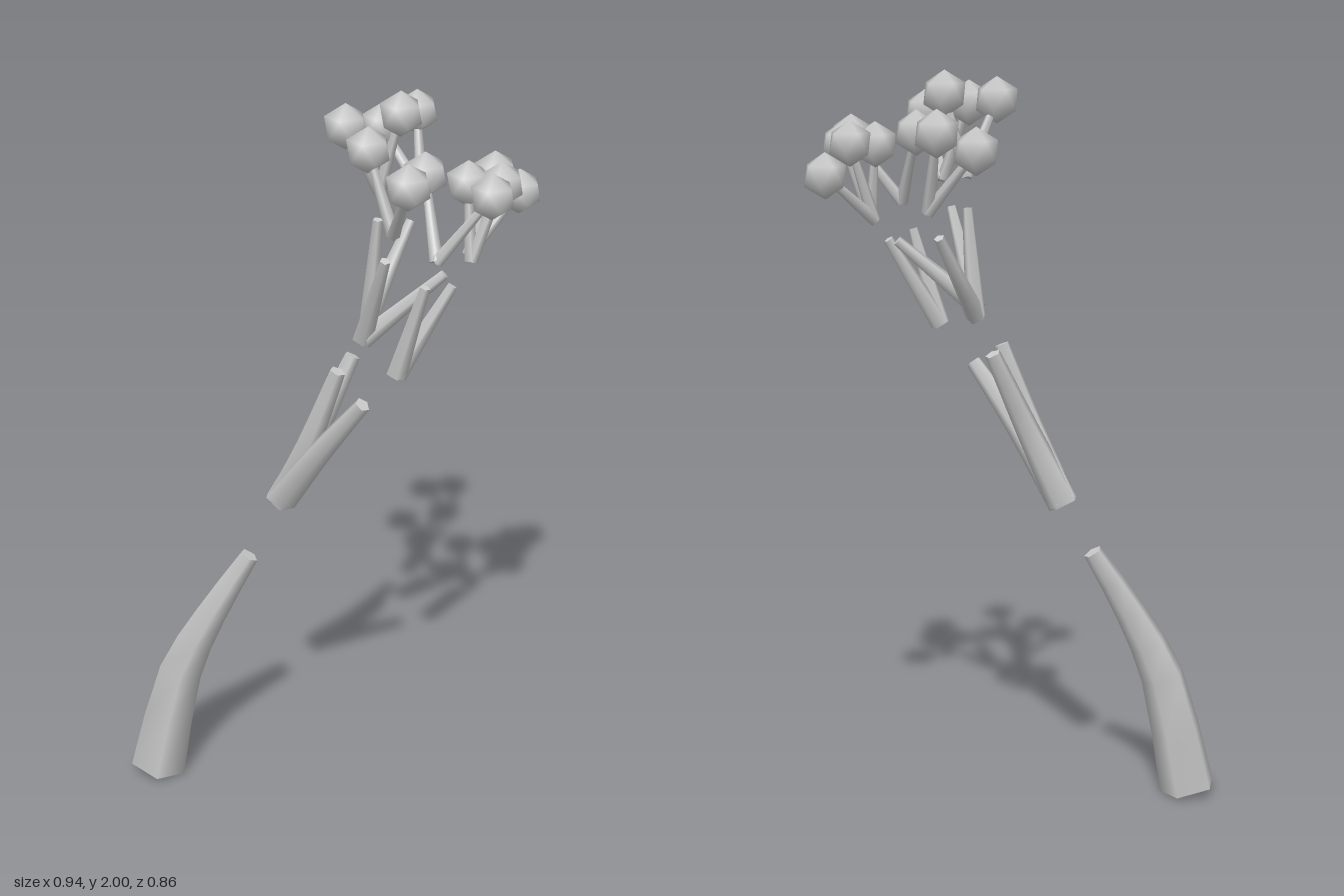
import * as THREE from 'three';
import { mergeVertices } from 'three/addons/utils/BufferGeometryUtils.js';

const material = new THREE.MeshStandardMaterial({ color: 0xcccccc });
const UP = new THREE.Vector3(0, 1, 0);

// Five-sided tapering limb that follows a curve through the given points
function limb(name, points, r0, r1) {
  const curve = new THREE.CatmullRomCurve3(points.map(p => new THREE.Vector3(...p)));
  const geo = new THREE.CylinderGeometry(1, 1, 1, 5, points.length > 2 ? 6 : 1, false, Math.PI);
  const pos = geo.attributes.position, nor = geo.attributes.normal;
  const q = new THREE.Quaternion(), v = new THREE.Vector3(), n = new THREE.Vector3();
  for (let i = 0; i < pos.count; i++) {
    v.fromBufferAttribute(pos, i);
    const t = THREE.MathUtils.clamp(v.y + 0.5, 0, 1);
    const r = THREE.MathUtils.lerp(r0, r1, t);
    q.setFromUnitVectors(UP, curve.getTangent(t));
    v.set(v.x * r, 0, v.z * r).applyQuaternion(q).add(curve.getPoint(t));
    n.fromBufferAttribute(nor, i).applyQuaternion(q);
    pos.setXYZ(i, v.x, v.y, v.z);
    nor.setXYZ(i, n.x, n.y, n.z);
  }
  const mesh = new THREE.Mesh(geo, material);
  mesh.name = name;
  return mesh;
}

// Smooth icosahedron standing on a vertex
function makeBudGeometry(radius) {
  let geo = new THREE.IcosahedronGeometry(radius, 0);
  geo.deleteAttribute('normal');
  geo.deleteAttribute('uv');
  geo = mergeVertices(geo);
  geo.rotateZ(-Math.atan(2 / (1 + Math.sqrt(5))));
  geo.computeVertexNormals();
  return geo;
}

export function createModel() {
  const group = new THREE.Group();

  // Trunk
  group.add(limb('trunk', [
    [-0.395, 0.018, -0.355], [-0.34, 0.34, -0.305], [-0.275, 0.52, -0.245], [-0.185, 0.70, -0.18],
  ], 0.08, 0.027));

  // Three main boughs sharing one foot
  const foot = [-0.088, 0.852, -0.162];
  const boughs = [
    [[-0.015, 1.05, -0.10], [0.085, 1.265, -0.067]],
    [[-0.065, 1.05, -0.065], [-0.02, 1.27, 0.005]],
    [[-0.06, 1.04, -0.02], [-0.018, 1.21, 0.11]],
  ];
  for (const [mid, tip] of boughs) group.add(limb('bough', [foot, mid, tip], 0.045, 0.022));

  // Each fork carries two branches; each branch end carries two twigs with buds
  const forks = [
    { foot: [0.138, 1.37, -0.06], branches: [
      { tip: [0.135, 1.65, -0.025], twigFoot: [0.135, 1.73, -0.02],
        buds: [[0.03, 1.922, -0.027], [0.168, 1.942, 0.025]] },
      { mid: [0.22, 1.47, -0.085], tip: [0.303, 1.592, -0.095], twigFoot: [0.342, 1.66, -0.098],
        buds: [[0.313, 1.82, -0.24], [0.38, 1.863, -0.17]] },
    ] },
    { foot: [0.02, 1.37, 0.06], branches: [
      { tip: [0, 1.625, 0.177], twigFoot: [0.007, 1.70, 0.20],
        buds: [[-0.012, 1.905, 0.12], [-0.05, 1.87, 0.328]] },
      { tip: [0.19, 1.55, 0.185], twigFoot: [0.235, 1.605, 0.225],
        buds: [[0.308, 1.81, 0.235], [0.414, 1.735, 0.212]] },
    ] },
    { foot: [0.03, 1.31, 0.19], branches: [
      { tip: [0.062, 1.565, 0.262], twigFoot: [0.08, 1.637, 0.283],
        buds: [[0.122, 1.83, 0.182], [0.18, 1.812, 0.375]] },
      { tip: [0.16, 1.545, 0.253], twigFoot: [0.21, 1.605, 0.265],
        buds: [[0.22, 1.802, 0.235], [0.278, 1.803, 0.296]] },
    ] },
  ];

  const budGeometry = makeBudGeometry(0.061);
  for (const fork of forks) {
    for (const { mid, tip, twigFoot, buds } of fork.branches) {
      const path = mid ? [fork.foot, mid, tip] : [fork.foot, tip];
      group.add(limb('branch', path, 0.028, 0.014));
      for (const p of buds) {
        group.add(limb('twig', [twigFoot, p], 0.018, 0.01));
        const bud = new THREE.Mesh(budGeometry, material);
        bud.name = 'bud';
        bud.position.set(...p);
        group.add(bud);
      }
    }
  }
  return group;
}
